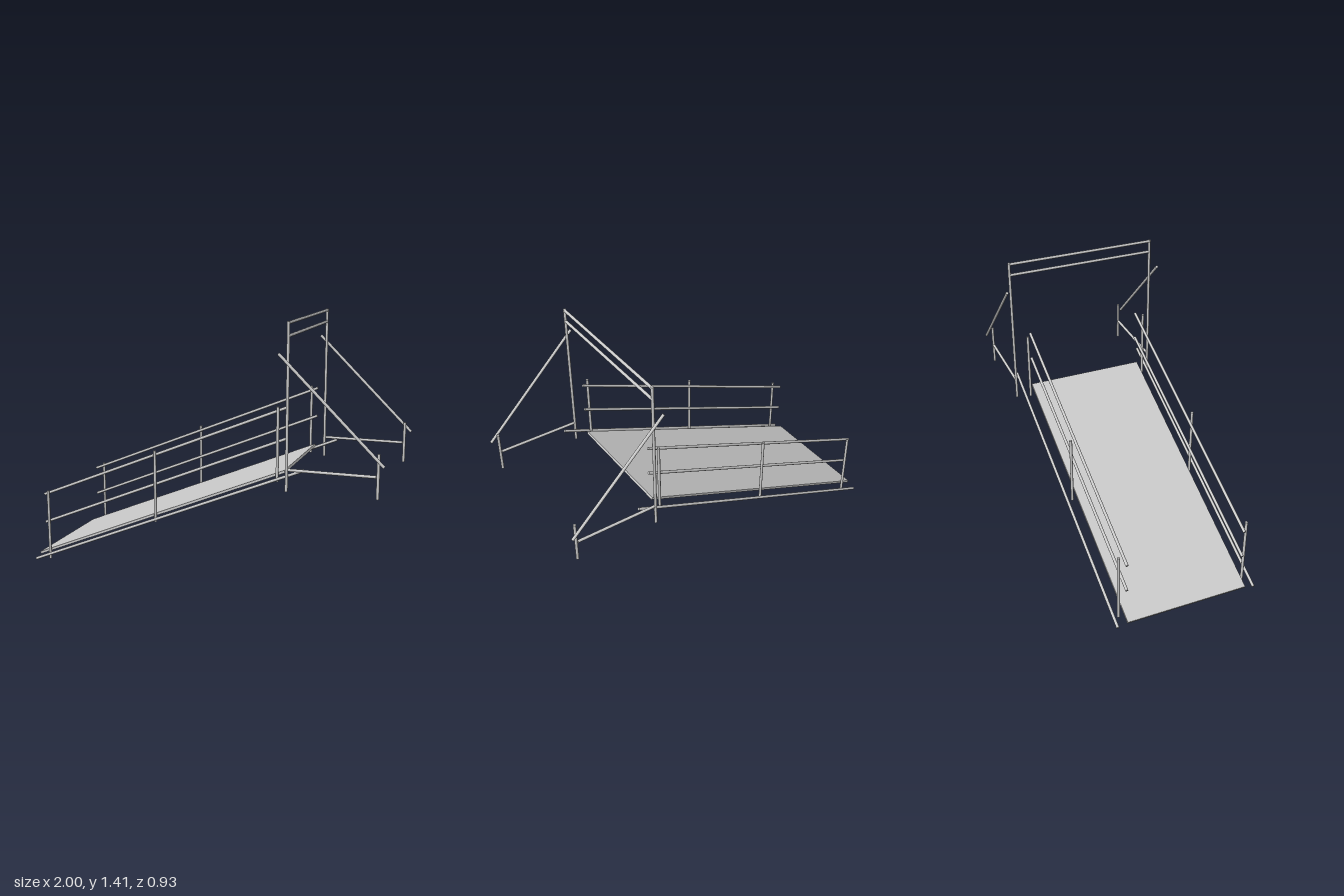
import * as THREE from 'three';

const R = 0.008; // pipe radius

export function createModel() {
  const model = new THREE.Group();
  model.name = 'rampWithGantry';
  const material = new THREE.MeshStandardMaterial({ color: 0xcccccc });
  const up = new THREE.Vector3(0, 1, 0);

  // straight round pipe between two points
  function pipe(name, a, b) {
    const start = new THREE.Vector3(...a);
    const dir = new THREE.Vector3(...b).sub(start);
    const mesh = new THREE.Mesh(new THREE.CylinderGeometry(R, R, dir.length(), 12), material);
    mesh.name = name;
    mesh.position.copy(start).addScaledVector(dir, 0.5);
    mesh.quaternion.setFromUnitVectors(up, dir.normalize());
    model.add(mesh);
  }

  // sloping deck
  const deck = new THREE.Mesh(new THREE.BoxGeometry(1.575, 0.014, 0.68), material);
  deck.name = 'deck';
  deck.position.set(-0.27, 0.329, 0);
  deck.rotation.z = Math.atan2(0.605, 1.46);
  model.add(deck);

  for (const side of [1, -1]) {
    const label = side > 0 ? 'front' : 'back';
    // pipe lying in a plane of constant z
    const flat = (name, z, x0, y0, x1, y1) =>
      pipe(label + name, [x0, y0, side * z], [x1, y1, side * z]);

    // ramp rails
    flat('BottomRail', 0.393, -0.995, 0.011, 0.573, 0.658);
    flat('MiddleRail', 0.33, -0.96, 0.215, 0.467, 0.805);
    flat('HandRail', 0.33, -0.96, 0.38, 0.467, 0.968);

    // railing posts
    [[-0.922, 0.01, 0.41], [-0.263, 0.295, 0.692], [0.423, 0.58, 0.973]].forEach(
      ([x, y0, y1]) => flat('RailPost', 0.36, x, y0, x, y1));

    // gantry frame: upright, floor bar, short rear post, diagonal brace
    flat('GantryUpright', 0.425, 0.49, 0.548, 0.49, 1.415);
    flat('FloorBar', 0.425, 0.498, 0.662, 0.947, 0.662);
    flat('RearPost', 0.425, 0.957, 0.548, 0.957, 0.78);
    flat('Brace', 0.457, 0.449, 1.257, 0.99, 0.721);
  }

  // gantry cross bars
  for (const y of [1.407, 1.342]) pipe('gantryCrossBar', [0.49, y, -0.425], [0.49, y, 0.425]);

  return model;
}
